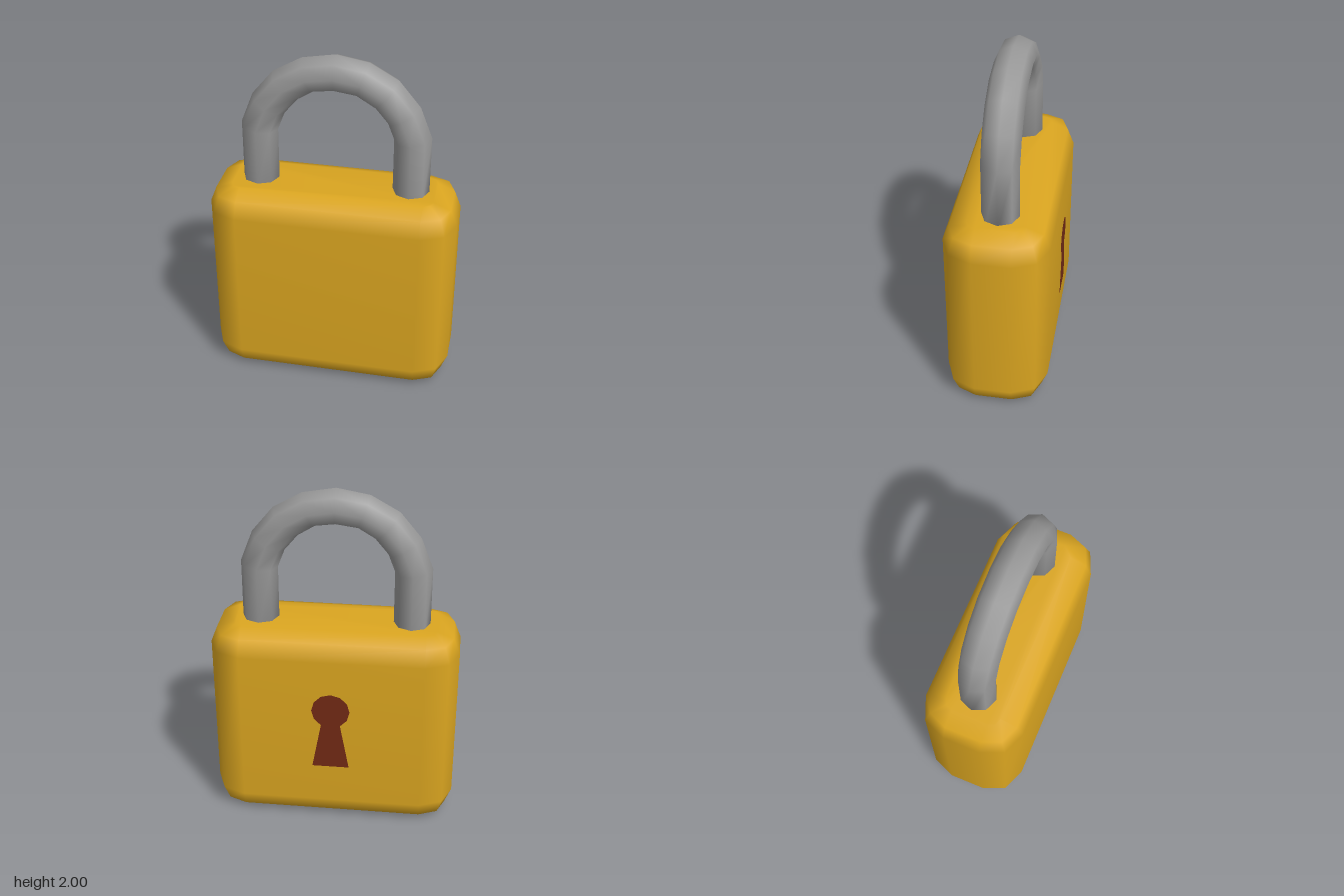
import * as THREE from 'three';

// Smooth closed skin over equal-sized rings of points, with both ends capped
function skin(rings) {
  const n = rings[0].length, last = (rings.length - 1) * n, index = [];
  for (let i = 0; i < rings.length - 1; i++) {
    for (let j = 0; j < n; j++) {
      const a = i * n + j, b = i * n + (j + 1) % n;
      index.push(a, a + n, b, b, a + n, b + n);
    }
  }
  for (let j = 1; j < n - 1; j++) {
    index.push(0, j, j + 1, last, last + j + 1, last + j);
  }
  const geometry = new THREE.BufferGeometry();
  geometry.setAttribute('position', new THREE.Float32BufferAttribute(rings.flat(2), 3));
  geometry.setIndex(index);
  geometry.computeVertexNormals();
  return geometry;
}

function part(name, geometry, color) {
  const mesh = new THREE.Mesh(geometry, new THREE.MeshStandardMaterial({ color }));
  mesh.name = name;
  return mesh;
}

// Rounded rectangle ring in plan, two facets per corner
function bodyRing(inset, y) {
  const radius = 0.19 - inset, ring = [];
  [[1, 1], [-1, 1], [-1, -1], [1, -1]].forEach(([sx, sz], corner) => {
    for (let k = 0; k < 3; k++) {
      const t = corner * Math.PI / 2 + k * Math.PI / 4;
      ring.push([sx * 0.525 + radius * Math.cos(t), y, 0.008 + sz * 0.107 + radius * Math.sin(t)]);
    }
  });
  return ring;
}

// Octagonal section spanning an outer and an inner point of the arch
function shackleRing([ox, oy, ix, iy]) {
  return Array.from({ length: 8 }, (_, k) => {
    const t = k * Math.PI / 4, c = Math.cos(t) / 2;
    return [(ox + ix) / 2 + c * (ox - ix), (oy + iy) / 2 + c * (oy - iy), 0.106 * Math.sin(t)];
  });
}

export function createModel() {
  const group = new THREE.Group();
  group.name = 'padlock';

  // Body with bevelled top and bottom edges
  const profile = [[0.135, 0], [0.038, 0.04], [0, 0.135], [0, 1.075], [0.038, 1.17], [0.135, 1.21]];
  group.add(part('body', skin(profile.map(([inset, y]) => bodyRing(inset, y))), 0xdaa520));

  // Shackle: outer x, y and inner x, y of each section, mirrored at the crown
  const half = [
    [0.54, 1.15, 0.33, 1.15], [0.54, 1.55, 0.33, 1.52], [0.47, 1.73, 0.29, 1.625],
    [0.35, 1.875, 0.215, 1.715], [0.187, 1.967, 0.118, 1.775],
  ];
  const mirrored = half.map(([ox, oy, ix, iy]) => [-ox, oy, -ix, iy]).reverse();
  const sections = [...half, [0, 2, 0, 1.79], ...mirrored];
  group.add(part('shackle', skin(sections.map(shackleRing)), 0x999999));

  // Keyhole: twelve-sided eye running into a flared slot, on the back face
  const outline = [new THREE.Vector2(-0.107, -0.38), new THREE.Vector2(0.107, -0.38)];
  for (let k = 0; k <= 10; k++) {
    const t = -Math.PI / 3 + k * Math.PI / 6;
    outline.push(new THREE.Vector2(0.11 * Math.cos(t), 0.11 * Math.sin(t)));
  }
  const keyhole = part('keyhole', new THREE.ShapeGeometry(new THREE.Shape(outline)), 0x722a15);
  keyhole.rotation.y = Math.PI;
  keyhole.position.set(0, 0.765, -0.3);
  group.add(keyhole);

  return group;
}
